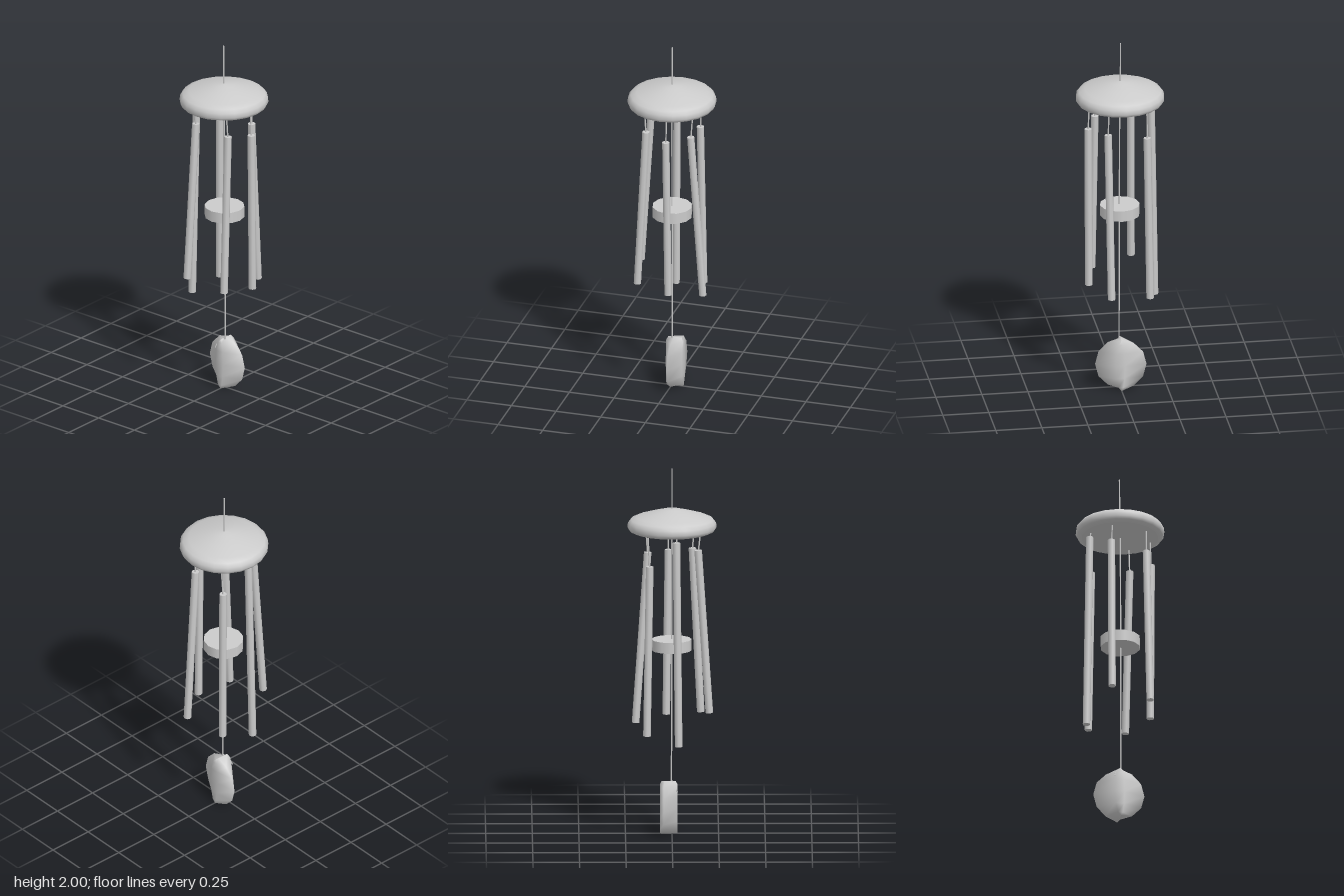
import * as THREE from 'three';

const grey = new THREE.MeshStandardMaterial({ color: 0xcccccc });
const V = (x, y, z) => new THREE.Vector3(x, y, z);

function add(parent, name, geometry) {
  const mesh = new THREE.Mesh(geometry, grey);
  mesh.name = name;
  parent.add(mesh);
  return mesh;
}

// Straight rod between two points
function rod(parent, name, a, b, radius, sides) {
  const mesh = add(parent, name, new THREE.CylinderGeometry(radius, radius, a.distanceTo(b), sides));
  mesh.position.copy(a).lerp(b, 0.5);
  mesh.quaternion.setFromUnitVectors(V(0, 1, 0), a.clone().sub(b).normalize());
}

function lathe(points, segments) {
  return new THREE.LatheGeometry(points.map(([r, y]) => new THREE.Vector2(r, y)), segments);
}

// Round wind catcher: a lens-like section whose width follows a circle over the height
function sailGeometry() {
  const section = [
    [-1, -0.045], [-0.25, 0.03], [0.13, 0.03],
    [1, -0.01], [0.25, -0.065], [-0.13, -0.065],
  ];
  const rows = 6, n = section.length, positions = [], index = [];
  for (let i = 0; i <= rows; i++) {
    const a = Math.PI * i / rows;
    const width = 0.137 * Math.max(Math.sin(a), 0.01);
    const pinch = i === rows ? 0.8 : 1;
    for (const [x, z] of section) {
      positions.push(x * width, 0.143 - 0.143 * Math.cos(a), -0.018 + (z + 0.018) * pinch);
    }
  }
  for (let i = 0; i < rows; i++) {
    for (let j = 0; j < n; j++) {
      const a = i * n + j, b = i * n + (j + 1) % n;
      index.push(a, b, b + n, a, b + n, a + n);
    }
  }
  // Narrow closing faces at both ends
  for (let j = 1; j < n - 1; j++) {
    index.push(0, j + 1, j, rows * n, rows * n + j, rows * n + j + 1);
  }
  const g = new THREE.BufferGeometry();
  g.setAttribute('position', new THREE.Float32BufferAttribute(positions, 3));
  g.setIndex(index);
  g.computeVertexNormals();
  return g;
}

export function createModel() {
  const model = new THREE.Group();
  model.name = 'windChime';

  // Domed top
  add(model, 'dome', lathe([
    [0.205, 1.654], [0.23, 1.664], [0.239, 1.68], [0.237, 1.705], [0.222, 1.724],
    [0.19, 1.738], [0.125, 1.757], [0.05, 1.777], [0, 1.781],
  ], 20));
  add(model, 'domeUnderside', lathe([[0, 1.654], [0.205, 1.654]], 20));

  // Central cord
  rod(model, 'hangingCord', V(-0.003, 2, 0), V(-0.002, 1.77, 0), 0.004, 6);
  rod(model, 'sailCord', V(0.002, 1.66, 0), V(0.006, 0.28, -0.003), 0.004, 6);

  // Tilted tubes, each given by its top and bottom centre
  const tubes = [
    [-0.172, 1.63, 0.023, -0.193, 0.515, 0.035],
    [-0.13, 1.49, -0.12, -0.143, 0.563, -0.135],
    [-0.08, 1.57, 0.14, -0.09, 0.68, 0.2],
    [0.084, 1.525, -0.13, 0.075, 0.592, -0.195],
    [0.12, 1.54, 0.11, 0.13, 0.64, 0.155],
    [0.176, 1.52, -0.018, 0.174, 0.617, -0.03],
  ];
  const chimes = new THREE.Group();
  chimes.name = 'chimes';
  model.add(chimes);
  for (const [tx, ty, tz, bx, by, bz] of tubes) {
    const top = V(tx, ty, tz);
    rod(chimes, 'chimeTube', top, V(bx, by, bz), 0.0205, 8);
    rod(chimes, 'chimeString', V(tx * 0.97, 1.66, tz * 1.08), V(tx, ty - 0.02, tz), 0.004, 6);
  }

  // Clapper disc
  const clapper = add(model, 'clapper', new THREE.CylinderGeometry(0.108, 0.108, 0.06, 12));
  clapper.position.set(0.002, 1.035, -0.002);

  // Wind sail and the loop of cord holding it
  add(model, 'sail', sailGeometry());
  const loop = new THREE.QuadraticBezierCurve3(V(0.005, 0.288, 0), V(-0.03, 0.272, 0.015), V(-0.036, 0.23, 0.03));
  add(model, 'sailLoop', new THREE.TubeGeometry(loop, 8, 0.003, 6));

  return model;
}
